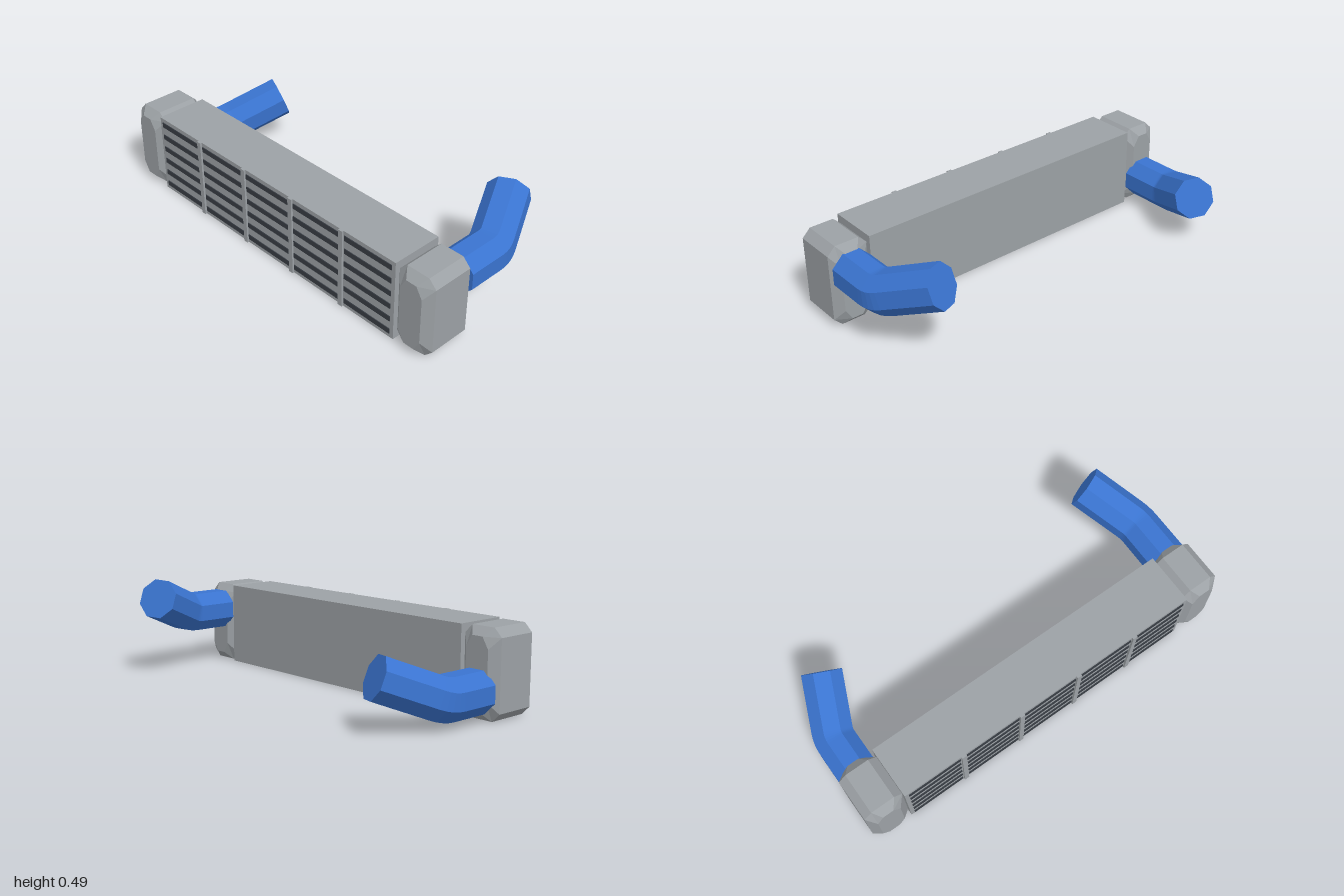
import * as THREE from 'three';

const grey = new THREE.MeshStandardMaterial({ color: 0x9ca1a5 });
grey.name = 'aluminium grey';
const dark = new THREE.MeshStandardMaterial({ color: 0x383d44 });
dark.name = 'dark slot';
const blue = new THREE.MeshStandardMaterial({ color: 0x3a74d0 });
blue.name = 'blue hose';

const V = (x, y, z) => new THREE.Vector3(x, y, z);

// Faceted solid through equal rings (counter-clockwise seen from the last one), capped at both ends
function loft(rings) {
  const pos = [];
  const tri = (...p) => p.forEach((v) => pos.push(v.x, v.y, v.z));
  const n = rings[0].length;
  for (let i = 0; i < rings.length - 1; i++) {
    for (let j = 0; j < n; j++) {
      const k = (j + 1) % n;
      const [a, b, c, d] = [rings[i][j], rings[i][k], rings[i + 1][k], rings[i + 1][j]];
      tri(a, b, c);
      tri(a, c, d);
    }
  }
  const first = rings[0], last = rings[rings.length - 1];
  for (let j = 1; j < n - 1; j++) {
    tri(first[0], first[j + 1], first[j]);
    tri(last[0], last[j], last[j + 1]);
  }
  const g = new THREE.BufferGeometry();
  g.setAttribute('position', new THREE.Float32BufferAttribute(pos, 3));
  g.computeVertexNormals();
  return g;
}

// Rectangle with cut corners: half sizes w, h and half lengths of the flats fw, fh
function cutRect(cx, cy, z, w, h, fw, fh) {
  return [[w, -fh], [w, fh], [fw, h], [-fw, h], [-w, fh], [-w, -fh], [-fw, -h], [fw, -h]]
    .map(([x, y]) => V(cx + x, cy + y, z));
}

// Octagonal hose leaving the tank to the rear, then bending inwards and upwards
function hoseGeometry(side, y) {
  const bend = V(side * 0.9, y, -0.097);
  const dir = V(-side * 0.467, 0.42, -1).normalize();
  const end = bend.clone().addScaledVector(dir, 0.268 / -dir.z);
  const arc = new THREE.QuadraticBezierCurve3(
    bend.clone().addScaledVector(dir, 0.04), bend, bend.clone().add(V(0, 0, 0.04)));
  const stations = [[end, dir.clone().negate()]];
  for (let i = 0; i <= 4; i++) stations.push([arc.getPoint(i / 4), arc.getTangent(i / 4)]);
  stations.push([V(side * 0.9, y, 0.137), V(0, 0, 1)]);
  const r = 0.097 / Math.cos(Math.PI / 8);
  return loft(stations.map(([p, axis]) => {
    const q = new THREE.Quaternion().setFromUnitVectors(V(0, 0, 1), axis);
    return Array.from({ length: 8 }, (_, j) => {
      const a = (j + 0.5) * Math.PI / 4;
      return V(r * Math.cos(a), r * Math.sin(a), 0).applyQuaternion(q).add(p);
    });
  }));
}

export function createModel() {
  const model = new THREE.Group();
  model.name = 'intercooler';
  const add = (name, geometry, material, parent = model) => {
    const m = new THREE.Mesh(geometry, material);
    m.name = name;
    parent.add(m);
    return m;
  };
  const H = 0.412, midY = H / 2;

  // Core block
  add('core', new THREE.BoxGeometry(1.6, H, 0.26), grey).position.set(0, midY, 0.268);

  // Upright ribs across the front of the core
  for (const x of [-0.484, -0.161, 0.161, 0.484]) {
    add('rib', new THREE.BoxGeometry(0.024, H, 0.01), grey).position.set(x, midY, 0.403);
  }

  // Dark slots: five columns of six thin plates
  const slots = new THREE.Group();
  slots.name = 'slots';
  model.add(slots);
  for (const [x, w] of [[-0.641, 0.278], [-0.321, 0.29], [0, 0.29], [0.321, 0.29], [0.641, 0.278]]) {
    for (let row = 0; row < 6; row++) {
      add('slot', new THREE.BoxGeometry(w, 0.026, 0.006), dark, slots)
        .position.set(x, 0.034 + row * 0.0688, 0.399);
    }
  }

  // Bevelled end tanks with one hose each, the left hose higher than the right
  for (const [side, label, y] of [[1, 'left', 0.281], [-1, 'right', 0.132]]) {
    const small = (z) => cutRect(side * 0.9, midY, z, 0.06, 0.168, 0.028, 0.115);
    const full = (z) => cutRect(side * 0.9, midY, z, 0.1, midY, 0.06, 0.166);
    add(label + 'Tank', loft([small(0.125), full(0.165), full(0.372), small(0.412)]), grey);
    add(label + 'Hose', hoseGeometry(side, y), blue);
  }
  return model;
}
